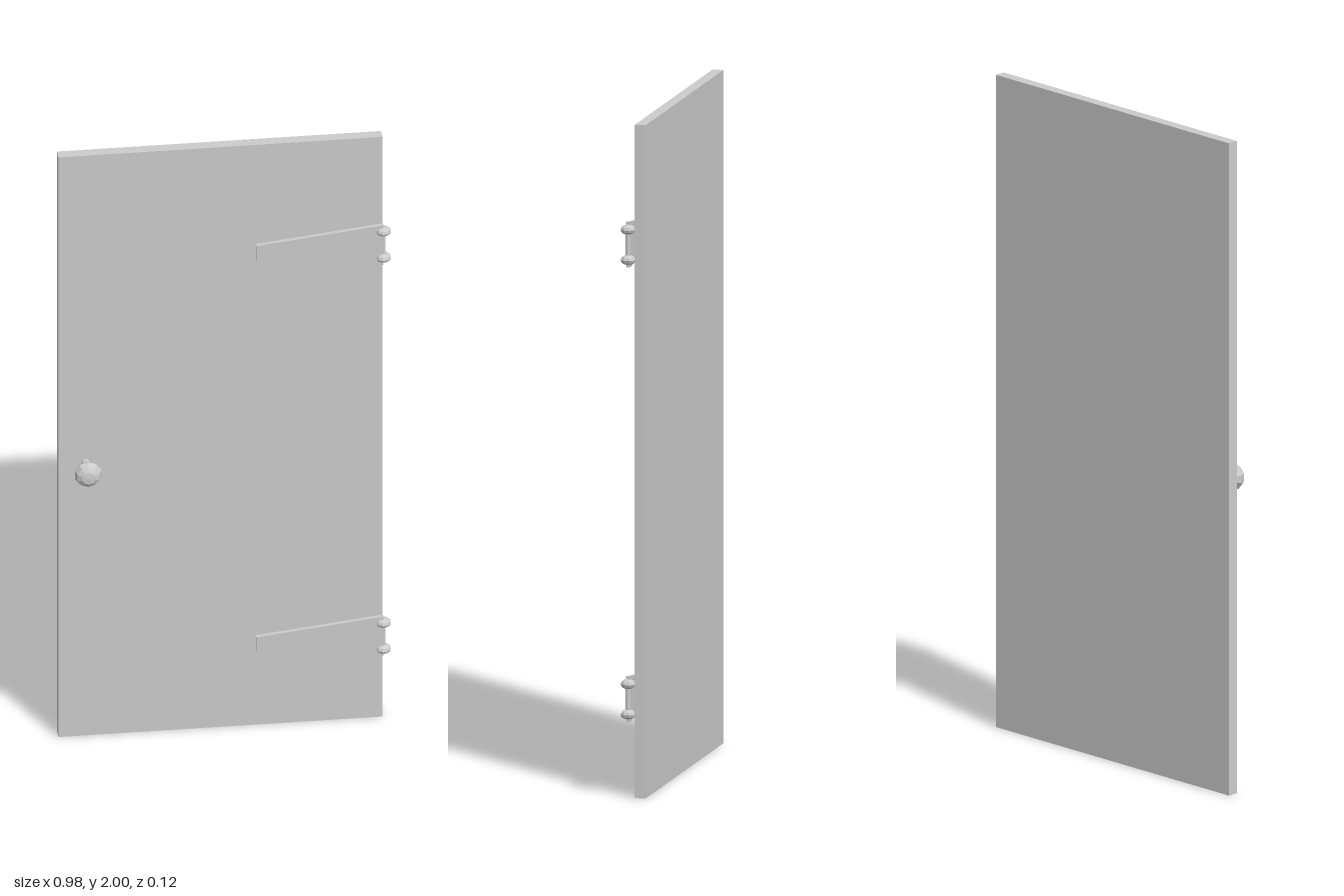
import * as THREE from 'three';

const solid = new THREE.MeshStandardMaterial({ color: 0xcccccc });
const faceted = new THREE.MeshStandardMaterial({ color: 0xcccccc, flatShading: true });

function add(parent, name, geometry, material, x, y, z) {
  const mesh = new THREE.Mesh(geometry, material);
  mesh.name = name;
  mesh.position.set(x, y, z);
  parent.add(mesh);
  return mesh;
}

// Tapered strap with its pin and two flattened end balls
function makeHinge(name, y) {
  const hinge = new THREE.Group();
  hinge.name = name;
  hinge.position.set(0.465, y, -0.009);

  const outline = new THREE.Shape([
    new THREE.Vector2(-0.375, -0.024),
    new THREE.Vector2(0, -0.068),
    new THREE.Vector2(0, 0.068),
    new THREE.Vector2(-0.375, 0.024),
  ]);
  const strap = new THREE.ExtrudeGeometry(outline, { depth: 0.013, bevelEnabled: false });
  add(hinge, 'hingeStrap', strap, solid, 0, 0, -0.0065);

  add(hinge, 'hingePin', new THREE.CylinderGeometry(0.007, 0.007, 0.09, 8), faceted, 0, 0, 0);
  for (const side of [-1, 1]) {
    const ball = new THREE.SphereGeometry(0.023, 9, 6);
    ball.scale(1, 0.65, 1);
    add(hinge, side > 0 ? 'upperPinBall' : 'lowerPinBall', ball, faceted, 0, side * 0.045, 0);
  }
  return hinge;
}

// Round knob on a short stem, turned about the z axis
function makeKnob() {
  const knob = new THREE.Group();
  knob.name = 'knob';
  knob.position.set(-0.41, 0.94, 0);

  const stem = new THREE.CylinderGeometry(0.014, 0.014, 0.05, 10);
  stem.rotateX(Math.PI / 2);
  add(knob, 'knobStem', stem, faceted, 0, 0, -0.008);

  const profile = [[0, -0.027], [0.02, -0.025], [0.034, -0.016], [0.041, 0],
    [0.034, 0.016], [0.02, 0.025], [0, 0.027]];
  const head = new THREE.LatheGeometry(profile.map(([r, h]) => new THREE.Vector2(r, h)), 10);
  head.rotateX(Math.PI / 2);
  add(knob, 'knobHead', head, faceted, 0, 0, 0.034);
  return knob;
}

export function createModel() {
  const door = new THREE.Group();
  door.name = 'door';
  add(door, 'doorPanel', new THREE.BoxGeometry(0.955, 2, 0.033), solid, -0.0125, 1, -0.0455);
  door.add(makeKnob(), makeHinge('upperHinge', 1.643), makeHinge('lowerHinge', 0.293));
  return door;
}
